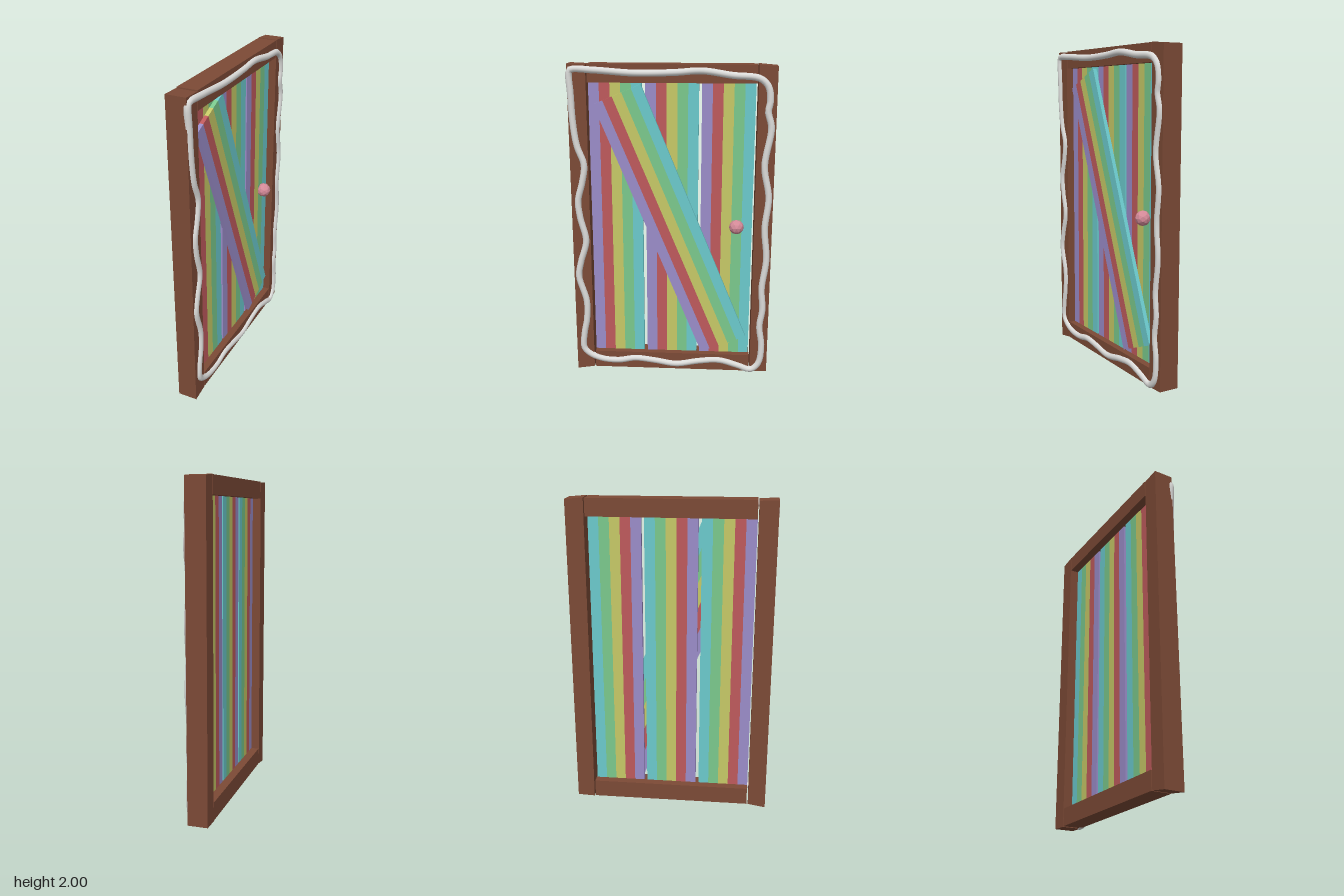
import * as THREE from 'three';

const mat = (name, color, extra = {}) => {
  const m = new THREE.MeshStandardMaterial({ color, ...extra });
  m.name = name;
  return m;
};

export function createModel() {
  const door = new THREE.Group();
  door.name = 'door';

  const wood = mat('brown wood', 0x7c4a36);
  const icing = mat('white icing', 0xdcdcda);
  const pink = mat('pink candy', 0xd48a98, { flatShading: true });
  const stripes = [
    mat('purple stripe', 0x9a8cc8), mat('red stripe', 0xbe5a5c), mat('yellow stripe', 0xc6c866),
    mat('green stripe', 0x7ac88c), mat('cyan stripe', 0x6bc9cc),
  ];

  // Flat slab: corners are [u, y] on the door face (u runs toward -z), depth runs along x
  function slab(name, corners, x0, x1, material, parent = door) {
    const shape = new THREE.Shape(corners.map(([u, y]) => new THREE.Vector2(u, y)));
    const geo = new THREE.ExtrudeGeometry(shape, { depth: x1 - x0, bevelEnabled: false });
    geo.translate(0, 0, x0).rotateY(Math.PI / 2);
    const mesh = new THREE.Mesh(geo, material);
    mesh.name = name;
    parent.add(mesh);
  }

  // Board divided lengthways into coloured stripes; corners: bottom left, bottom right, top right, top left
  function stripedBoard(name, [bl, br, tr, tl], x0, x1) {
    const board = new THREE.Group();
    board.name = name;
    const mix = (a, b, t) => [a[0] + (b[0] - a[0]) * t, a[1] + (b[1] - a[1]) * t];
    stripes.forEach((m, i) => {
      const s = i / 5, e = (i + 1) / 5;
      slab(m.name, [mix(bl, br, s), mix(br, bl, 1 - e), mix(tl, tr, e), mix(tl, tr, s)], x0, x1, m, board);
    });
    door.add(board);
  }

  // Frame
  const back = -0.078, front = 0.045;
  slab('leftPost', [[-0.627, 0], [-0.515, 0.018], [-0.513, 1.995], [-0.627, 2]], back, front, wood);
  slab('rightPost', [[0.515, 0.015], [0.625, 0.02], [0.625, 1.99], [0.513, 2]], back, front, wood);
  slab('topRail', [[-0.506, 1.89], [0.507, 1.89], [0.507, 1.998], [-0.506, 2]], back, front, wood);
  slab('bottomRail', [[-0.506, 0.018], [0.507, 0.018], [0.507, 0.13], [-0.506, 0.13]], back, front, wood);

  // Upright planks
  [[-0.507, -0.183], [-0.162, 0.162], [0.18, 0.502]].forEach(([a, b], i) =>
    stripedBoard('plank' + (i + 1), [[a, 0.13], [b, 0.13], [b, 1.89], [a, 1.89]], -0.025, 0.002));

  // Diagonal brace
  stripedBoard('brace', [[0.193, 0.14], [0.482, 0.255], [-0.188, 1.88], [-0.477, 1.757]], 0.0, 0.026);

  // Knob
  const knob = new THREE.Mesh(new THREE.IcosahedronGeometry(0.046, 1), pink);
  knob.name = 'knob';
  knob.position.set(0.028, 1.004, -0.405);
  door.add(knob);

  // Wavy icing trim, clockwise from the top left
  const path = [
    [-0.605, 1.965], [-0.46, 1.963], [-0.22, 1.947], [0.02, 1.952], [0.18, 1.962], [0.36, 1.937],
    [0.52, 1.92], [0.57, 1.875], [0.585, 1.79], [0.575, 1.725], [0.597, 1.63], [0.565, 1.395],
    [0.597, 1.2], [0.58, 1.0], [0.597, 0.8], [0.575, 0.6], [0.585, 0.46], [0.57, 0.34],
    [0.587, 0.2], [0.57, 0.075], [0.52, 0.03], [0.44, 0.055], [0.31, 0.09], [0.18, 0.08],
    [0.03, 0.055], [-0.11, 0.075], [-0.24, 0.088], [-0.35, 0.07], [-0.46, 0.078], [-0.54, 0.11],
    [-0.58, 0.155], [-0.575, 0.26], [-0.556, 0.36], [-0.553, 0.49], [-0.597, 0.66], [-0.58, 0.76],
    [-0.543, 0.9], [-0.575, 1.05], [-0.585, 1.16], [-0.555, 1.28], [-0.54, 1.39], [-0.58, 1.51],
    [-0.6, 1.66], [-0.607, 1.83], [-0.613, 1.945],
  ].map(([u, y]) => new THREE.Vector3(0.043, y, -u));
  const curve = new THREE.CatmullRomCurve3(path, true);
  const trim = new THREE.Mesh(new THREE.TubeGeometry(curve, 260, 0.021, 10, true), icing);
  trim.name = 'icingTrim';
  door.add(trim);

  return door;
}
